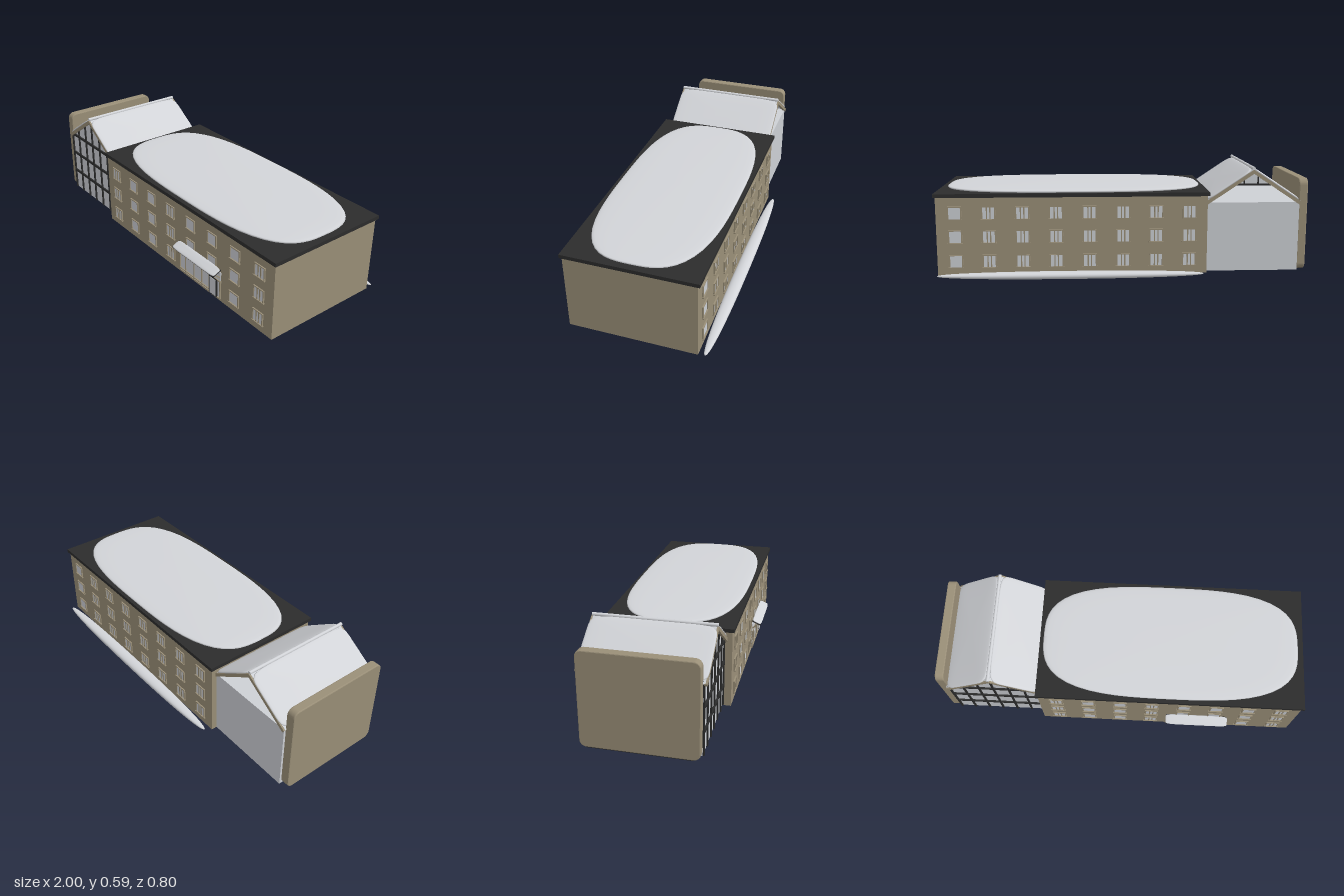
import * as THREE from 'three';
import { mergeGeometries } from 'three/addons/utils/BufferGeometryUtils.js';

const mat = (name, color) => {
  const m = new THREE.MeshStandardMaterial({ color });
  m.name = name;
  return m;
};

export function createModel() {
  const model = new THREE.Group();
  model.name = 'building';
  const tan = mat('tan wall', 0x9a8f78);
  const dark = mat('dark metal', 0x2c2c2c);
  const snow = mat('snow', 0xd2d4d8);
  const glass = mat('pale glass', 0xcdd0d5);
  const gable = glass.clone();
  gable.name = 'gable glass';
  gable.side = THREE.DoubleSide;

  const add = (name, geo, material, parent = model) => {
    const mesh = new THREE.Mesh(geo, material);
    mesh.name = name;
    parent.add(mesh);
    return mesh;
  };
  // Box given by its limits on each axis
  const span = (x0, x1, y0, y1, z0, z1) =>
    new THREE.BoxGeometry(x1 - x0, y1 - y0, z1 - z0)
      .translate((x0 + x1) / 2, (y0 + y1) / 2, (z0 + z1) / 2);
  // Flattened sphere with a superellipse outline
  const pillow = (rx, ry, rz, n, flat) => {
    const geo = new THREE.SphereGeometry(1, 64, 24);
    const p = geo.attributes.position;
    for (let i = 0; i < p.count; i++) {
      const y = p.getY(i), rho = Math.hypot(p.getX(i), p.getZ(i));
      const a = Math.atan2(p.getZ(i), p.getX(i));
      const c = Math.cos(a), s = Math.sin(a);
      const k = rho * Math.pow(Math.abs(c) ** n + Math.abs(s) ** n, -1 / n);
      p.setXYZ(i, c * k * rx, Math.sign(y) * Math.abs(y) ** flat * ry, s * k * rz);
    }
    geo.computeVertexNormals();
    return geo;
  };

  // Main block, roof slab and snow
  add('mainBlock', span(-0.45, 0.99, 0.015, 0.437, -0.33, 0.345), tan);
  add('roofSlab', span(-0.46, 1, 0.437, 0.457, -0.342, 0.355), dark);
  add('roofSnow', pillow(0.705, 0.015, 0.33, 3, 0.6).translate(0.265, 0.463, 0.005), snow);
  add('groundSnow', pillow(0.71, 0.02, 0.035, 2.3, 0.9).translate(0.28, 0.021, -0.365), snow);

  // Windows: three rows of eight on the front and back
  const frames = [], panes = [];
  const window = (x, y, z, dir, split) => {
    const bar = (x0, x1, y0, y1, d) => frames.push(
      span(x + x0, x + x1, y + y0, y + y1, dir > 0 ? z - 0.002 : z - d, dir > 0 ? z + d : z + 0.002));
    panes.push(span(x - 0.032, x + 0.032, y - 0.032, y + 0.032, z - 0.003, z + 0.003));
    for (const s of [-1, 1]) bar(s * 0.034 - 0.003, s * 0.034 + 0.003, -0.034, 0.034, 0.007);
    bar(-0.037, 0.037, 0.031, 0.036, 0.007);
    bar(-0.04, 0.04, -0.037, -0.031, 0.01);
    if (split) {
      bar(-0.012, -0.006, -0.032, 0.032, 0.006);
      bar(0.006, 0.012, -0.032, 0.032, 0.006);
    }
  };
  for (let col = 0; col < 8; col++) {
    const x = -0.353 + col * 0.1777;
    for (const [row, y] of [0.092, 0.225, 0.353].entries()) {
      const atEntrance = row === 0 && (col === 4 || col === 5);
      if (!atEntrance) window(x, y, 0.345, 1, [0, 3, 7].includes(col));
      window(x, y, -0.33, -1, col !== 7);
    }
  }
  add('windowFrames', mergeGeometries(frames), tan);
  add('windowPanes', mergeGeometries(panes), glass);

  // Entrance: glazed front, posts, door, sign plate and canopy
  const entrance = new THREE.Group();
  entrance.name = 'entrance';
  model.add(entrance);
  add('entranceGlass', span(0.267, 0.61, 0.03, 0.19, 0.342, 0.349), glass, entrance);
  for (const x of [0.267, 0.315, 0.39, 0.455, 0.52, 0.606])
    add('entrancePost', span(x, x + 0.005, 0.03, 0.14, 0.345, 0.354), tan, entrance);
  for (const y of [0.03, 0.135])
    add('entranceRail', span(0.267, 0.611, y, y + 0.006, 0.345, 0.354), tan, entrance);
  add('entranceSill', span(0.267, 0.52, 0.045, 0.05, 0.345, 0.356), tan, entrance);
  add('doorFrame', span(0.524, 0.586, 0.028, 0.139, 0.345, 0.355), dark, entrance);
  add('doorGlass', span(0.531, 0.579, 0.034, 0.132, 0.35, 0.357), glass, entrance);
  add('signPlate', span(0.37, 0.51, 0.16, 0.185, 0.345, 0.353), dark, entrance);
  const canopy = new THREE.Group();
  canopy.name = 'canopy';
  canopy.position.set(0.438, 0.197, 0.373);
  canopy.rotation.x = 0.4;
  entrance.add(canopy);
  add('canopyDeck', new THREE.BoxGeometry(0.345, 0.006, 0.054), dark, canopy);
  add('canopySnow', pillow(0.175, 0.006, 0.029, 8, 0.5).translate(0, 0.006, 0), snow, canopy);
  for (const x of [0.275, 0.602]) {
    const strut = add('canopyStrut', new THREE.BoxGeometry(0.006, 0.006, 0.05), tan, entrance);
    strut.position.set(x, 0.173, 0.364);
    strut.rotation.x = -0.75;
  }

  // Glazed hall with a pointed front
  const hall = new THREE.Group();
  hall.name = 'glassHall';
  model.add(hall);
  add('hallBody', span(-0.953, -0.45, 0.018, 0.395, -0.3, 0.298), glass, hall);
  const front = new THREE.Shape([[-0.953, 0.02], [-0.45, 0.02], [-0.45, 0.395], [-0.7, 0.56], [-0.953, 0.395]]
    .map(([x, y]) => new THREE.Vector2(x, y)));
  add('frontGlazing', new THREE.ShapeGeometry(front).translate(0, 0, 0.3), gable, hall);
  const bars = [];
  for (const x of [-0.947, -0.866, -0.78, -0.7, -0.615, -0.53, -0.456]) {
    const top = 0.56 - Math.abs(x + 0.7) * 0.66;
    bars.push(span(x - 0.005, x + 0.005, 0.02, top, 0.298, 0.308));
  }
  for (const y of [0.144, 0.273, 0.4])
    bars.push(span(-0.95, -0.45, y - 0.007, y + 0.007, 0.298, 0.309));
  add('mullions', mergeGeometries(bars), dark, hall);

  // Hall roof: two slopes with rafters and snow
  for (const s of [-1, 1]) {
    const slope = new THREE.Group();
    slope.name = s < 0 ? 'rightSlope' : 'leftSlope';
    slope.position.set(-0.7 + s * 0.129, 0.482, 0.006);
    slope.rotation.z = -s * Math.atan2(0.172, 0.258);
    hall.add(slope);
    add('roofDeck', new THREE.BoxGeometry(0.31, 0.008, 0.61), glass, slope);
    add('slopeSnow', pillow(0.153, 0.01, 0.315, 9, 0.5).translate(0, 0.007, 0), snow, slope);
    for (const z of [-0.306, 0.306])
      add('rafter', new THREE.BoxGeometry(0.312, 0.018, 0.016).translate(0, -0.006, z), tan, slope);
  }
  const ridge = add('ridgeCap', new THREE.CylinderGeometry(0.009, 0.009, 0.622, 16), snow, hall);
  ridge.rotation.x = Math.PI / 2;
  ridge.position.set(-0.7, 0.577, 0.007);

  // Rounded end wall
  const w = 0.29, b = 0.022, t = 0.516, r = 0.03;
  const outline = new THREE.Shape();
  outline.moveTo(-w + r, b).lineTo(w - r, b).absarc(w - r, b + r, r, -Math.PI / 2, 0)
    .lineTo(w, t - r).absarc(w - r, t - r, r, 0, Math.PI / 2)
    .lineTo(-w + r, t).absarc(-w + r, t - r, r, Math.PI / 2, Math.PI)
    .lineTo(-w, b + r).absarc(-w + r, b + r, r, Math.PI, Math.PI * 1.5);
  const endWall = add('endWall', new THREE.ExtrudeGeometry(outline, {
    depth: 0.038, bevelSize: 0.005, bevelThickness: 0.005, bevelSegments: 2, curveSegments: 8,
  }), tan, hall);
  endWall.rotation.y = Math.PI / 2;
  endWall.position.set(-0.995, 0, 0.005);
  add('endWallFoot', span(-0.995, -0.957, 0.013, 0.02, -0.255, 0.265), dark, hall);

  return model;
}
